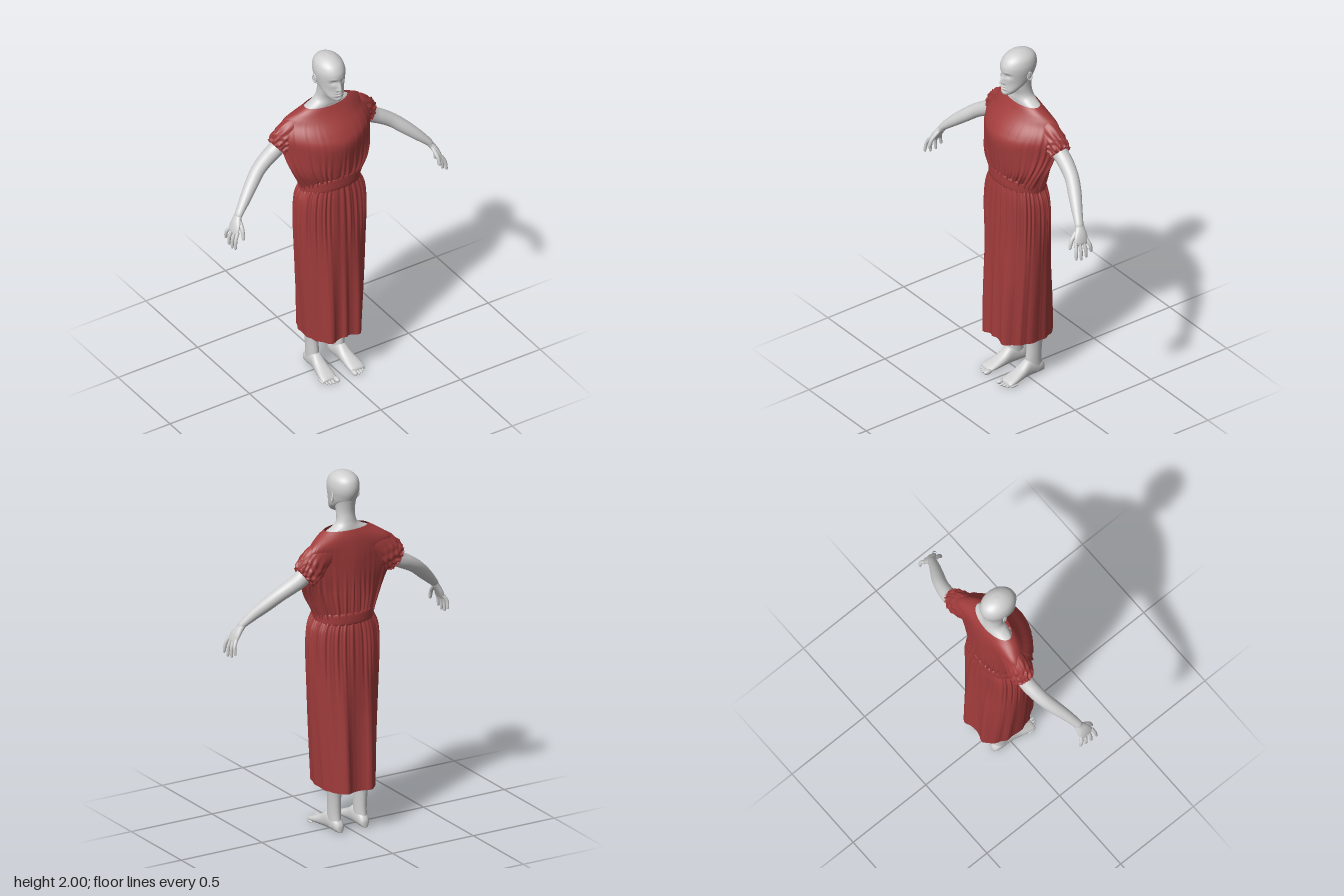
import * as THREE from 'three';

const { sin, cos, abs, exp, max, min, PI, sign } = Math;
const spow = (v, e) => sign(v) * abs(v) ** e;
const bell = (v, c, w) => exp(-(((v - c) / w) ** 2));
const ramp = (v, a, b) => THREE.MathUtils.smoothstep(v, a, b);

// Smooth interpolation through rows of numbers, t from 0 to 1
function rowAt(rows, t) {
  const f = t * (rows.length - 1), i = min(Math.floor(f), rows.length - 2), u = f - i;
  const r = k => rows[max(0, min(rows.length - 1, k))];
  return rows[0].map((_, n) => {
    const a = r(i - 1)[n], b = r(i)[n], c = r(i + 1)[n], d = r(i + 2)[n];
    return b + 0.5 * u * (c - a + u * (2 * a - 5 * b + 4 * c - d + u * (3 * (b - c) + d - a)));
  });
}

// Surface through closed rings; point(t, angle) returns [x, y, z]
function loft(steps, segs, point) {
  const pos = [], idx = [];
  for (let i = 0; i <= steps; i++)
    for (let j = 0; j < segs; j++) {
      pos.push(...point(i / steps, (j / segs) * PI * 2));
      if (i === steps) continue;
      const a = i * segs + j, b = i * segs + (j + 1) % segs;
      idx.push(a, a + segs, b, b, a + segs, b + segs);
    }
  const g = new THREE.BufferGeometry();
  g.setAttribute('position', new THREE.Float32BufferAttribute(pos, 3));
  g.setIndex(idx);
  g.computeVertexNormals();
  return g;
}

// Upright body: rows of [y, half width, front z, back z, squareness, centre x]
function upright(rows, steps, segs, shape = p => p, swell = () => 0) {
  return loft(steps, segs, (t, a) => {
    const [y, rx, zf, zb, e, xc] = rowAt(rows, t);
    const c = spow(cos(a), e), s = spow(sin(a), e), d = swell(a, y);
    return shape([xc + (max(rx, 0) + d) * c, y, (zf + zb) / 2 + ((zf - zb) / 2 + d) * s], c, s);
  });
}

// Limb along a path: rows of [x, y, z, half width toward z, half thickness]
function limb(rows, steps, segs, swell = () => 0) {
  return loft(steps, segs, (t, a) => {
    const r = rowAt(rows, t), p = rowAt(rows, max(0, t - 0.01)), q = rowAt(rows, min(1, t + 0.01));
    const T = new THREE.Vector3(q[0] - p[0], q[1] - p[1], q[2] - p[2]).normalize();
    const N = new THREE.Vector3(0, 0, 1).addScaledVector(T, -T.z).normalize();
    const B = N.clone().cross(T), d = swell(a, t);
    const v = new THREE.Vector3(r[0], r[1], r[2])
      .addScaledVector(N, (max(r[3], 0) + d) * cos(a)).addScaledVector(B, (max(r[4], 0) + d) * sin(a));
    return v.toArray();
  });
}

function mirrored(geo) {
  const g = geo.clone();
  g.scale(-1, 1, 1);
  const ix = g.index.array;
  for (let i = 0; i < ix.length; i += 3) [ix[i], ix[i + 1]] = [ix[i + 1], ix[i]];
  g.computeVertexNormals();
  return g;
}

export function createModel() {
  const skin = new THREE.MeshStandardMaterial({ color: 0xd0d0d0 });
  skin.name = 'pale grey skin';
  const cloth = new THREE.MeshStandardMaterial({ color: 0xa23c3c, side: THREE.DoubleSide });
  cloth.name = 'red cloth';
  const model = new THREE.Group();
  model.name = 'womanInDress';
  const add = (name, geo, mat) => {
    const m = new THREE.Mesh(geo, mat);
    m.name = name;
    model.add(m);
  };
  const pair = (name, geo, mat) => {
    add('left' + name, geo, mat);
    add('right' + name, mirrored(geo), mat);
  };
  const ball = (x, y, z, rx, ry, rz) =>
    new THREE.SphereGeometry(1, 16, 12).scale(rx, ry, rz).translate(x, y, z);

  // Head, with the face pushed in and out by smooth bumps
  const face = ([x, y, z], c, s) => {
    if (s > 0) {
      const ax = abs(x), nose = ramp(y, 1.826, 1.837) * (1 - ramp(y, 1.837, 1.89));
      z += s * (0.021 * nose * bell(x, 0, 0.011)
        + 0.006 * bell(y, 1.832, 0.007) * bell(ax, 0.011, 0.007)
        - 0.011 * bell(ax, 0.03, 0.018) * bell(y, 1.882, 0.014)
        + 0.003 * bell(ax, 0.03, 0.022) * bell(y, 1.903, 0.009)
        + 0.006 * bell(x, 0, 0.018) * (bell(y, 1.811, 0.005) + bell(y, 1.798, 0.006))
        - 0.004 * bell(x, 0, 0.02) * bell(y, 1.8045, 0.003)
        - 0.005 * bell(x, 0, 0.03) * bell(y, 1.785, 0.007)
        - 0.003 * bell(ax, 0.042, 0.015) * bell(y, 1.82, 0.02));
    }
    return [x, y, z];
  };
  add('head', upright([
    [1.755, 0, 0.08, 0.07, 1, 0], [1.758, 0.018, 0.094, 0.05, 1, 0], [1.768, 0.034, 0.101, 0.025, 1, 0],
    [1.787, 0.049, 0.102, 0, 1, 0], [1.81, 0.06, 0.1, -0.04, 1, 0], [1.84, 0.068, 0.099, -0.08, 1, 0],
    [1.87, 0.074, 0.101, -0.098, 1, 0], [1.9, 0.079, 0.102, -0.108, 1, 0], [1.93, 0.079, 0.1, -0.109, 1, 0],
    [1.96, 0.071, 0.084, -0.1, 1, 0], [1.98, 0.055, 0.06, -0.081, 1, 0], [1.994, 0.031, 0.029, -0.05, 1, 0],
    [2, 0, -0.009, -0.011, 1, 0]], 96, 110, face), skin);
  pair('Eye', ball(0.03, 1.881, 0.074, 0.012, 0.007, 0.009), skin);
  pair('EarRim', new THREE.TorusGeometry(0.015, 0.004, 8, 24).scale(0.85, 1.5, 1)
    .rotateY(PI / 2 - 0.25).translate(0.078, 1.867, -0.02), skin);
  pair('EarBowl', ball(0.073, 1.864, -0.018, 0.006, 0.022, 0.012), skin);

  // Neck spreading into the shoulders
  add('neckAndShoulders', upright([
    [1.6, 0.18, 0.03, -0.1, 1, 0], [1.65, 0.168, 0.015, -0.1, 1, 0], [1.68, 0.135, 0.012, -0.092, 1, 0],
    [1.695, 0.1, 0.013, -0.09, 1, 0], [1.715, 0.066, 0.012, -0.086, 1, 0], [1.74, 0.053, 0.014, -0.081, 1, 0],
    [1.78, 0.05, 0.027, -0.077, 1, 0], [1.82, 0.053, 0.035, -0.082, 1, 0], [1.86, 0.058, 0.035, -0.092, 1, 0]], 32, 48), skin);

  // Arms, palms and fingers
  pair('Arm', limb([
    [0.2, 1.545, -0.06, 0.045, 0.05], [0.3, 1.463, -0.065, 0.043, 0.044], [0.36, 1.428, -0.058, 0.041, 0.041],
    [0.42, 1.39, -0.042, 0.038, 0.038], [0.48, 1.34, -0.014, 0.036, 0.036], [0.54, 1.286, 0.018, 0.03, 0.03],
    [0.592, 1.235, 0.043, 0.024, 0.021], [0.6, 1.22, 0.046, 0.023, 0.019]], 40, 28), skin);
  pair('Palm', limb([
    [0.588, 1.238, 0.042, 0.022, 0.018], [0.605, 1.215, 0.046, 0.026, 0.018], [0.626, 1.182, 0.056, 0.038, 0.017],
    [0.641, 1.15, 0.064, 0.041, 0.013], [0.645, 1.138, 0.066, 0.034, 0.008], [0.646, 1.136, 0.066, 0, 0]], 24, 28), skin);
  const digit = (name, base, knuckle, tip, r) => {
    const end = tip.map((v, i) => v + (v - knuckle[i]) * 0.1);
    pair(name, limb([[...base, r, r], [...knuckle, r, r], [...tip, r * 0.75, r * 0.75], [...end, 0, 0]], 18, 12), skin);
  };
  [0.1, 0.077, 0.054, 0.031].forEach((z, i) => {
    const drop = [0.012, 0, 0.004, 0.024][i], spread = (1.3 - i) * 0.007;
    digit('Finger' + (i + 1), [0.638, 1.158, z], [0.657, 1.113 + drop / 2, z + spread],
      [0.663 - i * 0.002, 1.061 + drop, z + spread * 1.6], 0.0095);
  });
  digit('Thumb', [0.605, 1.205, 0.065], [0.613, 1.165, 0.105], [0.617, 1.12, 0.122], 0.011);

  // Legs and feet
  pair('Leg', upright([
    [0.03, 0.03, 0.01, -0.1, 1, 0.08], [0.1, 0.031, 0.006, -0.09, 1, 0.08], [0.2, 0.034, 0, -0.094, 1, 0.082],
    [0.35, 0.049, 0.012, -0.112, 1, 0.085], [0.5, 0.048, 0.035, -0.075, 1, 0.083], [0.75, 0.066, 0.06, -0.08, 1, 0.085],
    [1, 0.08, 0.075, -0.09, 1, 0.085]], 40, 32), skin);
  // Rows of [z, centre x, half width, top y]
  const footRows = [[-0.11, 0.077, 0, 0.025], [-0.105, 0.077, 0.018, 0.045], [-0.085, 0.078, 0.029, 0.07],
    [-0.045, 0.079, 0.032, 0.09], [0, 0.08, 0.034, 0.1], [0.05, 0.083, 0.039, 0.068], [0.1, 0.087, 0.044, 0.045],
    [0.135, 0.089, 0.043, 0.03], [0.148, 0.088, 0.036, 0.02], [0.15, 0.088, 0, 0.01]];
  pair('Foot', loft(40, 32, (t, a) => {
    const [z, xc, rx, top] = rowAt(footRows, t), h = rx > 0.001 ? top / 2 : 0.002;
    return [xc + max(rx, 0) * spow(cos(a), 0.9), 0.003 + top / 2 - h * spow(sin(a), 0.9), z];
  }), skin);
  for (let i = 0; i < 5; i++) {
    const r = i ? 0.0095 - i * 0.0005 : 0.014;
    pair('Toe' + (i + 1), ball(i ? 0.063 + i * 0.0165 : 0.056, r, 0.156 - i * i * 0.0022, r, r, 0.026), skin);
  }

  // Gathers of the cloth, and the waistline rising at the front
  const gather = a => 0.55 * sin(34 * a + 2 * sin(3 * a)) + 0.45 * sin(53 * a + 1.7 * sin(5 * a + 1));
  const lift = (y, s) => y + 0.058 * max(0, s) * bell(y, 1.215, 0.08);

  // Loose bodice, wide under the arms and bulging over the waist
  add('bodice', upright([
    [1.19, 0.16, 0.123, -0.12, 0.9, 0], [1.24, 0.182, 0.134, -0.126, 0.95, 0], [1.32, 0.222, 0.14, -0.129, 1.05, 0],
    [1.39, 0.25, 0.148, -0.128, 1.15, 0], [1.5, 0.272, 0.156, -0.126, 1.2, 0], [1.56, 0.272, 0.128, -0.123, 1.18, 0],
    [1.62, 0.238, 0.077, -0.116, 1.1, 0], [1.655, 0.193, 0.05, -0.109, 1, 0], [1.68, 0.152, 0.035, -0.1, 1, 0],
    [1.692, 0.13, 0.028, -0.094, 1, 0]], 50, 260,
  ([x, y, z], c, s) => [x, lift(y, s), z - 0.06 * abs(c) ** 2.5 * ramp(y, 1.3, 1.5) * (1 - ramp(y, 1.6, 1.69))],
  (a, y) => gather(a) * (0.006 * (1 - ramp(y, 1.25, 1.5)) + 0.004 * cos(a) ** 2 * (1 - ramp(y, 1.5, 1.66)))), cloth);

  // Crumpled open sleeves
  pair('Sleeve', limb([
    [0.13, 1.575, -0.05, 0.06, 0.085], [0.19, 1.55, -0.055, 0.06, 0.089], [0.24, 1.507, -0.06, 0.06, 0.086],
    [0.275, 1.477, -0.064, 0.054, 0.074], [0.285, 1.469, -0.064, 0.05, 0.068]], 36, 96,
  (a, t) => ramp(t, 0.15, 0.6) * (0.003 * sin(11 * a + 5 * sin(7 * t)) + 0.004 * sin(17 * a + 2 * sin(3 * a) - 9 * t)
    + 0.002 * sin(26 * t + 3 * sin(2 * a)))), cloth);

  // Waistband
  add('waistband', upright([
    [1.168, 0.158, 0.122, -0.12, 0.9, 0], [1.176, 0.169, 0.133, -0.128, 0.9, 0], [1.205, 0.17, 0.134, -0.129, 0.9, 0],
    [1.23, 0.169, 0.133, -0.128, 0.9, 0], [1.238, 0.158, 0.122, -0.12, 0.9, 0]], 12, 96,
  ([x, y, z], c, s) => [x, lift(y, s), z]), cloth);

  // Long skirt, finely gathered above and falling in broad folds
  const drape = ([x, y, z], c, s) => {
    const low = 1 - ramp(y, 0.35, 1.1), hem = bell(y, 0.247, 0.1);
    const fold = 0.026 * bell(abs(x), 0.085, 0.035) + 0.012 * bell(x, 0, 0.016) * max(0, s);
    return [x, lift(y, s) + hem * (0.01 * s + 0.014 * max(0, s) * bell(x, 0, 0.045)), z + s * low * fold];
  };
  add('skirt', upright([
    [0.25, 0.157, 0.155, -0.16, 0.78, 0], [0.45, 0.171, 0.152, -0.152, 0.8, 0], [0.65, 0.185, 0.149, -0.146, 0.82, 0],
    [0.85, 0.197, 0.146, -0.141, 0.85, 0], [1.02, 0.201, 0.142, -0.136, 0.85, 0], [1.12, 0.195, 0.137, -0.131, 0.87, 0],
    [1.17, 0.178, 0.13, -0.125, 0.9, 0], [1.2, 0.16, 0.121, -0.119, 0.9, 0]], 50, 260, drape,
  (a, y) => gather(a) * (0.0006 + 0.0055 * ramp(y, 0.75, 1.1) * (1 - 0.6 * ramp(y, 1.16, 1.2)))
    + (1 - ramp(y, 0.4, 1.1)) * 0.003 * sin(13 * a + sin(2 * a))), cloth);

  return model;
}
